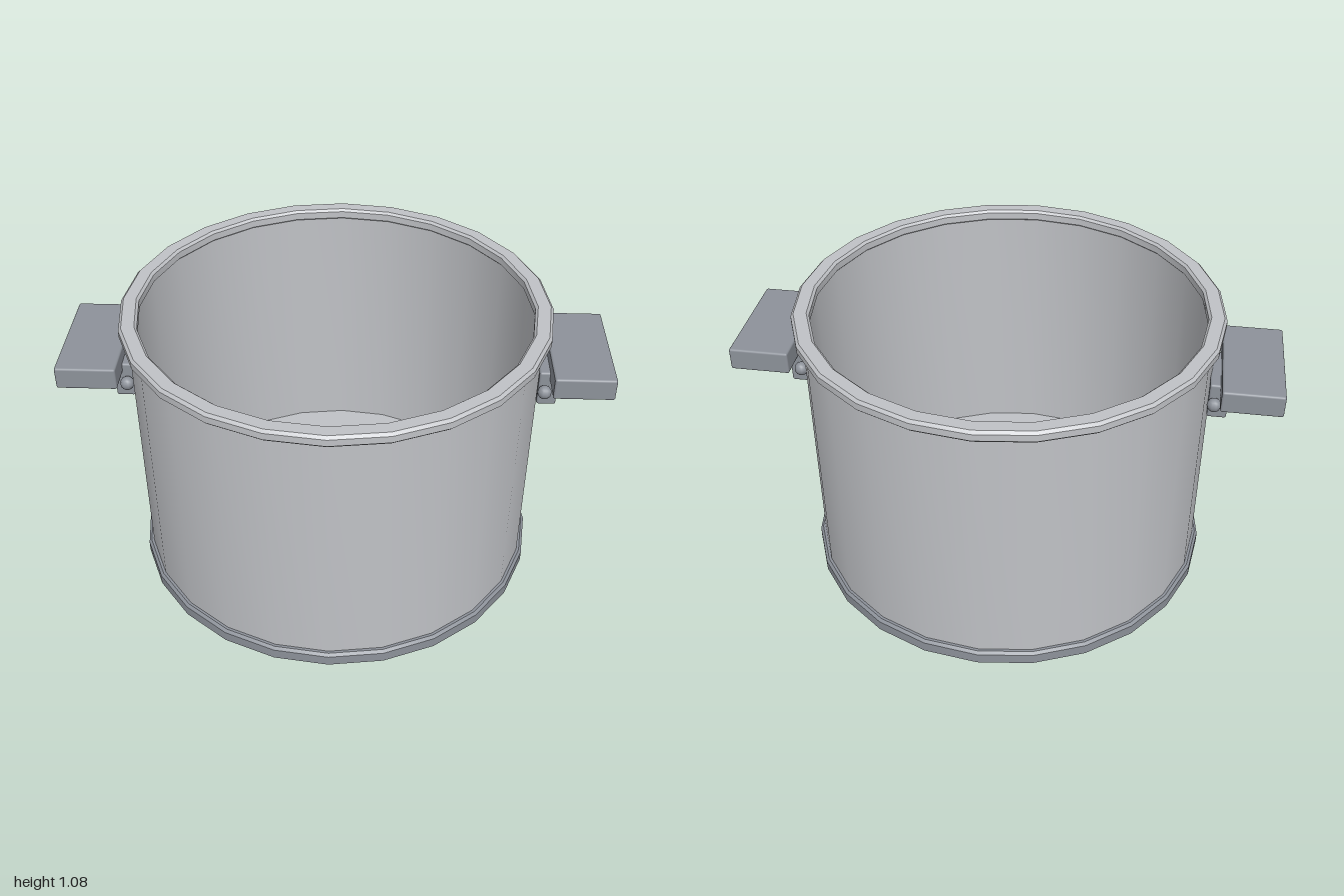
import * as THREE from 'three';
import { toCreasedNormals } from 'three/addons/utils/BufferGeometryUtils.js';
import { RoundedBoxGeometry } from 'three/addons/geometries/RoundedBoxGeometry.js';

const SIDES = 24;

function material(name, color) {
  const m = new THREE.MeshStandardMaterial({ color });
  m.name = name;
  return m;
}

// Turned part: smooth around the axis, sharp along the profile corners
function turned(name, profile, mat) {
  const points = profile.map(([r, y]) => new THREE.Vector2(r, y));
  const geometry = toCreasedNormals(new THREE.LatheGeometry(points, SIDES), 0.5);
  const mesh = new THREE.Mesh(geometry, mat);
  mesh.name = name;
  return mesh;
}

function block(name, size, position, mat) {
  const mesh = new THREE.Mesh(new RoundedBoxGeometry(...size, 2, 0.008), mat);
  mesh.name = name;
  mesh.position.set(...position);
  return mesh;
}

export function createModel() {
  const steel = material('brushed steel', 0xc0c2c6);
  const darkSteel = material('dark steel', 0x8d929a);

  const pot = new THREE.Group();
  pot.name = 'cookingPot';

  // Hollow body: underside, outer wall, inner wall, floor
  pot.add(turned('body', [
    [0, 0], [0.75, 0], [0.75, 1.05], [0.72, 1.05], [0.72, 0.04], [0, 0.04],
  ], steel));

  // Rolled rim with small bevels
  pot.add(turned('rim', [
    [0.724, 1.03], [0.77, 1.03], [0.78, 1.04], [0.78, 1.065], [0.77, 1.075],
    [0.724, 1.075], [0.715, 1.066], [0.715, 1.039], [0.724, 1.03],
  ], steel));

  // Band around the foot
  pot.add(turned('baseBand', [
    [0.745, 0.002], [0.76, 0.002], [0.77, 0.012], [0.77, 0.052], [0.76, 0.062], [0.745, 0.062],
  ], darkSteel));

  // Handles with bracket and rivets, mirrored left and right
  for (const side of [1, -1]) {
    const handle = new THREE.Group();
    handle.name = side > 0 ? 'leftHandle' : 'rightHandle';
    handle.add(block('grip', [0.22, 0.085, 0.445], [side * 0.89, 0.87, 0], darkSteel));
    handle.add(block('bracket', [0.07, 0.14, 0.225], [side * 0.777, 0.793, 0], darkSteel));
    for (const z of [-0.138, 0.138]) {
      const rivet = new THREE.Mesh(new THREE.SphereGeometry(0.026, 10, 8), darkSteel);
      rivet.name = 'rivet';
      rivet.position.set(side * 0.762, 0.797, z);
      handle.add(rivet);
    }
    pot.add(handle);
  }
  return pot;
}
